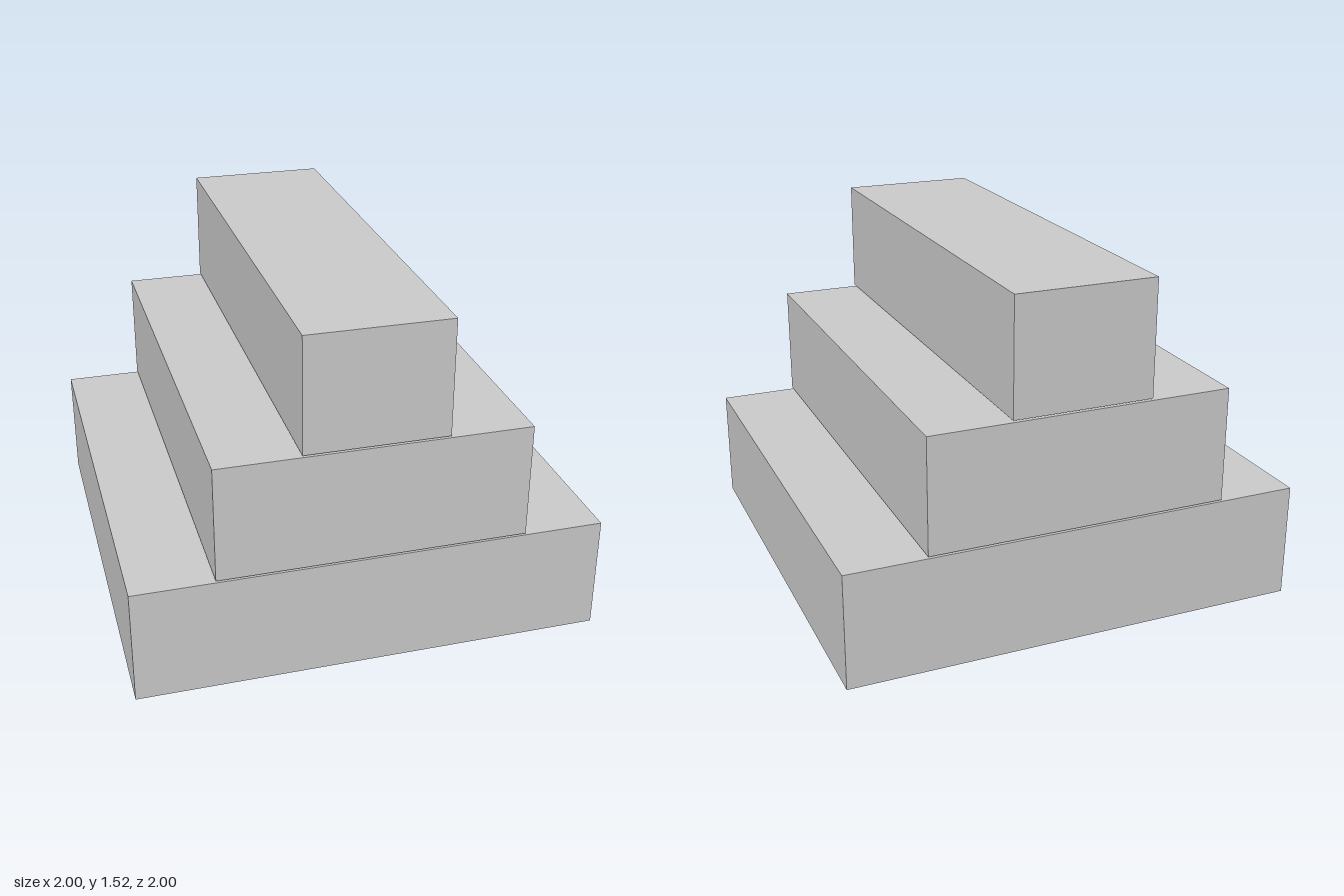
import * as THREE from 'three';

const TIER_HEIGHT = 0.5;
const GAP = 0.008; // thin seam between stacked tiers
const DEPTH = 2;

export function createModel() {
  const model = new THREE.Group();
  model.name = 'steppedBlocks';
  const material = new THREE.MeshStandardMaterial({ color: 0xcccccc });

  // Three full-depth slabs, each narrower than the one below
  const tiers = [
    { name: 'bottomTier', width: 2 },
    { name: 'middleTier', width: 1.31 },
    { name: 'topTier', width: 0.605 },
  ];
  tiers.forEach(({ name, width }, i) => {
    const tier = new THREE.Mesh(new THREE.BoxGeometry(width, TIER_HEIGHT, DEPTH), material);
    tier.name = name;
    tier.position.y = TIER_HEIGHT / 2 + i * (TIER_HEIGHT + GAP);
    model.add(tier);
  });

  return model;
}
